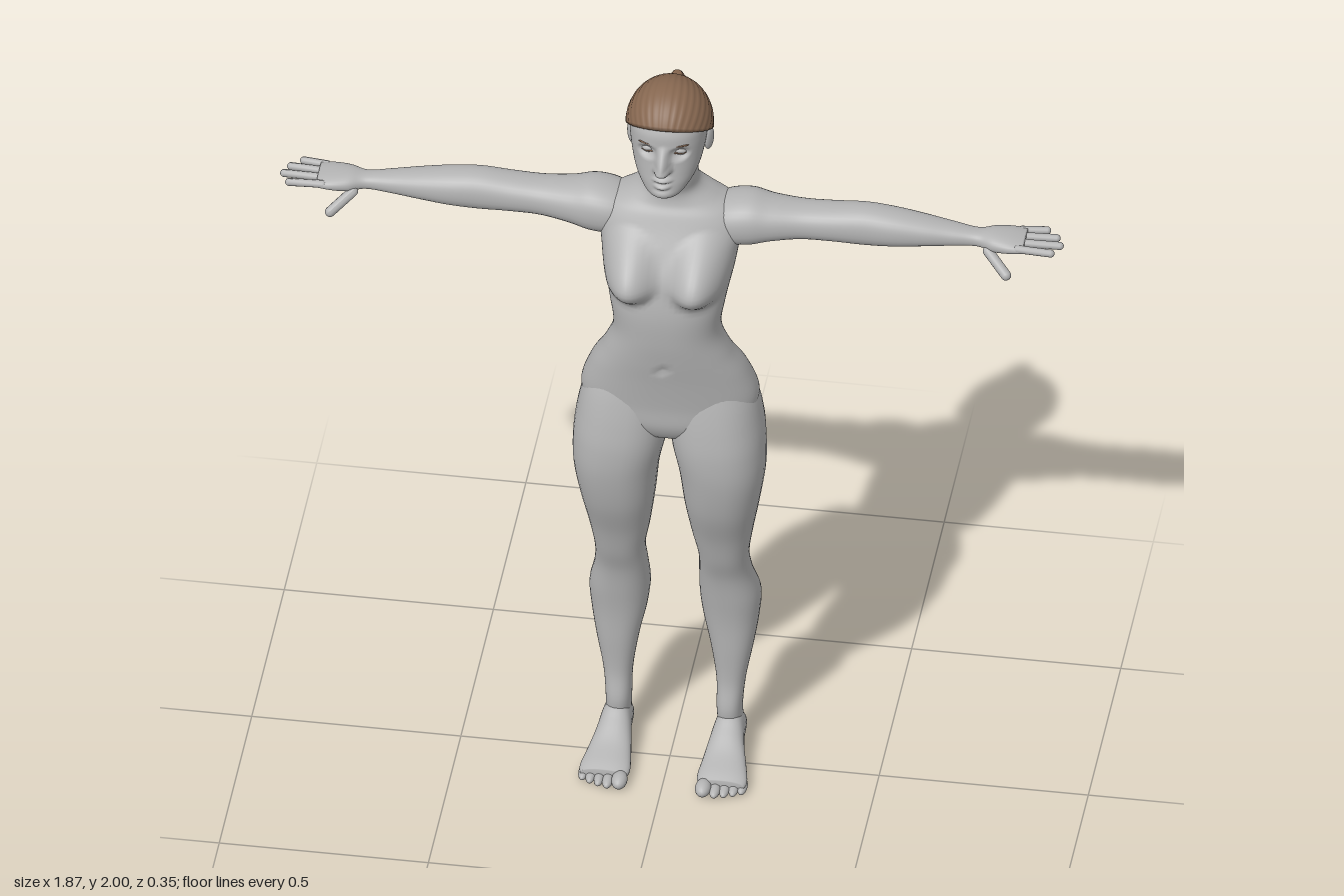
import * as THREE from 'three';

const skin = new THREE.MeshStandardMaterial({ color: 0xb4b4b4 });
skin.name = 'grey skin';
const hair = new THREE.MeshStandardMaterial({ color: 0x866750, side: THREE.DoubleSide });
hair.name = 'brown hair';

// Closed surface with smooth normals from a grid of rows x cols points
function skinGrid(points, rows, cols, flip) {
  const index = [];
  const tri = (a, b, c) => (flip ? index.push(a, c, b) : index.push(a, b, c));
  for (let i = 0; i < rows - 1; i++) for (let j = 0; j < cols; j++) {
    const k = (j + 1) % cols, a = i * cols + j, b = i * cols + k;
    tri(a, a + cols, b);
    tri(b, a + cols, b + cols);
  }
  // End caps
  for (const [row, up] of [[0, false], [rows - 1, true]]) {
    const centre = new THREE.Vector3();
    for (let j = 0; j < cols; j++) centre.addScaledVector(points[row * cols + j], 1 / cols);
    const c = points.push(centre) - 1;
    for (let j = 0; j < cols; j++) {
      const a = row * cols + j, b = row * cols + ((j + 1) % cols);
      if (up) tri(c, b, a); else tri(c, a, b);
    }
  }
  const geo = new THREE.BufferGeometry().setFromPoints(points);
  geo.setIndex(index);
  geo.computeVertexNormals();
  return geo;
}

// Loft along an axis; each section is [s, aMin, aMax, bMin, bMax]
function loft(sections, { axis = 'y', cols = 32, steps = 6, power = 2.3, shape } = {}) {
  const points = [], last = sections.length - 1, rows = last * steps + 1;
  const at = (i) => sections[Math.min(Math.max(i, 0), last)];
  const round = (v) => Math.sign(v) * Math.abs(v) ** (2 / power);
  for (let r = 0; r < rows; r++) {
    const i = Math.min(Math.floor(r / steps), last - 1), t = r / steps - i;
    const [s, a0, a1, b0, b1] = at(i).map((p1, k) => {
      const p0 = at(i - 1)[k], p2 = at(i + 1)[k], p3 = at(i + 2)[k];
      return p1 + 0.5 * t * (p2 - p0 + t * (2 * p0 - 5 * p1 + 4 * p2 - p3 + t * (3 * (p1 - p2) + p3 - p0)));
    });
    for (let j = 0; j < cols; j++) {
      const q = (j / cols) * Math.PI * 2;
      const a = (a0 + a1) / 2 + ((a1 - a0) / 2) * round(Math.cos(q));
      const b = (b0 + b1) / 2 + ((b1 - b0) / 2) * round(Math.sin(q));
      const p = axis === 'y' ? new THREE.Vector3(a, s, b)
        : axis === 'x' ? new THREE.Vector3(s, a, b) : new THREE.Vector3(a, b, s);
      if (shape) shape(p, q);
      points.push(p);
    }
  }
  return skinGrid(points, rows, cols, axis !== 'y');
}

// Section symmetric about x = 0
const sym = ([y, w, back, front]) => [y, -w, w, back, front];

// Raises soft mounds on the front (side 1) or back (side -1) of a loft
const mounds = (list) => (p, q) => {
  let push = 0;
  for (const [side, x, y, rx, up, down, amp] of list) {
    const dy = (p.y - y) / (p.y > y ? up : down);
    const d = ((Math.abs(p.x) - x) / rx) ** 2 + dy * dy;
    const facing = Math.min(Math.max(side * Math.sin(q) * 2, 0), 1);
    if (d < 1) push += side * amp * facing * (1 - d) ** 1.5;
  }
  p.z += push;
};

const ellipsoid = (x, y, z, rx, ry, rz, turn = 0) =>
  new THREE.SphereGeometry(1, 20, 14).scale(rx, ry, rz).rotateY(turn).translate(x, y, z);

// Rounded finger between two points
function finger(from, to, radius) {
  const a = new THREE.Vector3(...from), b = new THREE.Vector3(...to);
  const dir = b.clone().sub(a), mid = a.clone().add(b).multiplyScalar(0.5);
  const geo = new THREE.CapsuleGeometry(radius, dir.length() - radius, 5, 12);
  geo.applyQuaternion(new THREE.Quaternion().setFromUnitVectors(new THREE.Vector3(0, 1, 0), dir.normalize()));
  return geo.translate(mid.x, mid.y, mid.z);
}

function mirrored(geo) {
  const copy = geo.clone().scale(-1, 1, 1), ids = copy.index.array;
  for (let i = 0; i < ids.length; i += 3) [ids[i], ids[i + 1]] = [ids[i + 1], ids[i]];
  copy.computeVertexNormals();
  return copy;
}

// Swept-back hair: an ellipsoid cap cut by the hairline plane, ridged towards the tail
function hairCap() {
  const pole = new THREE.Vector3(0, 0.4, -0.917), side = new THREE.Vector3(1, 0, 0);
  const third = pole.clone().cross(side), line = new THREE.Vector3(0, 0.885, -0.465);
  const rows = 28, cols = 144, points = [];
  for (let i = 0; i < rows; i++) for (let j = 0; j < cols; j++) {
    const q = (j / cols) * Math.PI * 2;
    const e = side.clone().multiplyScalar(Math.cos(q)).addScaledVector(third, Math.sin(q));
    const A = pole.dot(line), B = e.dot(line);
    const limit = Math.atan2(B, A) + Math.acos(-0.04 / Math.hypot(A, B));
    const angle = limit * (1 - (i / (rows - 1)) * 0.98);
    const ridge = 1 + 0.018 * Math.sin(angle) * (Math.abs(Math.sin(q * 18)) - 0.6);
    const p = pole.clone().multiplyScalar(Math.cos(angle)).addScaledVector(e, Math.sin(angle));
    p.multiplyScalar(ridge).multiply(new THREE.Vector3(0.104, 0.115, 0.115));
    points.push(p.add(new THREE.Vector3(0, 1.885, 0.005)));
  }
  return skinGrid(points, rows, cols, true);
}

export function createModel() {
  const model = new THREE.Group();
  model.name = 'figure';
  const add = (name, geo, mat = skin) => {
    const mesh = new THREE.Mesh(geo, mat);
    mesh.name = name;
    model.add(mesh);
  };
  const pair = (name, geo, mat) => {
    add('left ' + name, geo, mat);
    add('right ' + name, mirrored(geo), mat);
  };

  // Torso and neck
  add('torso', loft([
    [0.985, 0.05, -0.06, 0.05], [1.0, 0.12, -0.09, 0.075], [1.04, 0.19, -0.11, 0.095], [1.1, 0.212, -0.115, 0.1],
    [1.18, 0.188, -0.095, 0.112], [1.25, 0.152, -0.062, 0.125], [1.32, 0.128, -0.055, 0.135],
    [1.4, 0.138, -0.075, 0.138], [1.48, 0.155, -0.11, 0.125], [1.54, 0.165, -0.12, 0.1],
    [1.6, 0.175, -0.12, 0.068], [1.635, 0.155, -0.115, 0.05], [1.66, 0.11, -0.11, 0.035],
    [1.69, 0.07, -0.1, 0.032], [1.73, 0.062, -0.09, 0.045], [1.79, 0.058, -0.08, 0.05],
  ].map(sym), { cols: 80, shape: mounds([
    [1, 0.088, 1.487, 0.082, 0.12, 0.068, 0.066],
    [-1, 0.092, 1.07, 0.096, 0.12, 0.09, 0.058],
    [-1, 0, 1.42, 0.035, 0.18, 0.2, -0.014],
    [1, 0, 1.23, 0.014, 0.016, 0.016, -0.01],
  ]) }));

  // Legs: ankle to hip
  pair('leg', loft([
    [0.05, 0.105, 0.165, -0.115, -0.04], [0.12, 0.102, 0.163, -0.112, -0.025], [0.2, 0.1, 0.17, -0.118, -0.035],
    [0.3, 0.085, 0.188, -0.135, -0.03], [0.38, 0.068, 0.2, -0.152, -0.025], [0.45, 0.06, 0.204, -0.152, -0.015],
    [0.53, 0.062, 0.188, -0.115, 0], [0.6, 0.064, 0.184, -0.092, 0.025], [0.68, 0.05, 0.195, -0.092, 0.05],
    [0.78, 0.036, 0.213, -0.1, 0.088], [0.88, 0.025, 0.228, -0.105, 0.11], [0.96, 0.008, 0.229, -0.112, 0.115],
    [1.03, 0, 0.222, -0.12, 0.108], [1.1, 0.005, 0.205, -0.11, 0.095], [1.16, 0.03, 0.17, -0.08, 0.08],
  ], { cols: 40 }));

  // Feet and toes
  pair('foot', loft([
    [-0.122, 0.12, 0.15, 0.02, 0.05], [-0.115, 0.105, 0.165, 0.005, 0.07], [-0.08, 0.1, 0.17, 0, 0.1],
    [-0.04, 0.098, 0.172, 0, 0.11], [0, 0.092, 0.178, 0, 0.09], [0.05, 0.085, 0.19, 0, 0.062],
    [0.1, 0.08, 0.2, 0, 0.045], [0.125, 0.088, 0.196, 0.004, 0.034],
  ], { axis: 'z' }));
  [[0.1, 0.135, 0.019], [0.128, 0.132, 0.013], [0.15, 0.126, 0.012], [0.171, 0.118, 0.012], [0.19, 0.108, 0.012]]
    .forEach(([x, z, r]) => pair('toe', ellipsoid(x, r * 0.95, z, r, r * 0.95, 0.03)));

  // Arms with palms, shoulder to knuckles
  pair('arm', loft([
    [0.09, 1.56, 1.635, -0.09, 0.02], [0.14, 1.535, 1.655, -0.108, 0.035], [0.19, 1.535, 1.662, -0.108, 0.035],
    [0.24, 1.548, 1.652, -0.098, 0.025], [0.31, 1.557, 1.645, -0.092, 0.012], [0.38, 1.558, 1.648, -0.09, 0.01],
    [0.46, 1.556, 1.655, -0.088, 0.01], [0.53, 1.56, 1.65, -0.085, 0.01], [0.6, 1.567, 1.638, -0.08, 0.003],
    [0.67, 1.573, 1.624, -0.073, -0.008], [0.73, 1.577, 1.615, -0.066, -0.014], [0.77, 1.575, 1.62, -0.078, 0.004],
    [0.81, 1.58, 1.618, -0.084, 0.012], [0.845, 1.586, 1.612, -0.084, 0.01],
  ], { axis: 'x' }));
  [[0.002, 0.915, 0.002], [-0.024, 0.932, -0.031], [-0.05, 0.92, -0.06], [-0.074, 0.893, -0.087]]
    .forEach(([z, tip, tipZ]) => pair('finger', finger([0.825, 1.602, z], [tip, 1.598, tipZ], 0.0095)));
  pair('thumb', finger([0.755, 1.585, -0.01], [0.812, 1.54, 0.034], 0.0125));

  // Head with sockets, nose, lips and cheeks
  add('head', loft([
    [1.737, 0.02, 0.07, 0.108], [1.75, 0.045, 0.01, 0.122], [1.78, 0.068, -0.045, 0.122],
    [1.81, 0.08, -0.07, 0.118], [1.85, 0.088, -0.085, 0.114], [1.89, 0.092, -0.09, 0.113],
    [1.92, 0.091, -0.09, 0.109], [1.95, 0.08, -0.075, 0.092], [1.975, 0.055, -0.05, 0.062], [1.988, 0.015, -0.01, 0.02],
  ].map(sym), { cols: 112, steps: 9, shape: mounds([
    [1, 0, 1.829, 0.022, 0.065, 0.018, 0.036],
    [1, 0.014, 1.825, 0.012, 0.016, 0.012, 0.009],
    [1, 0.038, 1.868, 0.028, 0.022, 0.022, -0.016],
    [1, 0, 1.797, 0.028, 0.012, 0.008, 0.011],
    [1, 0, 1.781, 0.024, 0.008, 0.012, 0.011],
    [1, 0, 1.758, 0.03, 0.014, 0.018, 0.006],
  ]) }));
  pair('eye', ellipsoid(0.037, 1.868, 0.086, 0.017, 0.012, 0.013));
  pair('eyelash', ellipsoid(0.038, 1.866, 0.095, 0.016, 0.002, 0.005, 0.25), hair);
  pair('eyebrow', ellipsoid(0.04, 1.892, 0.102, 0.021, 0.003, 0.005, 0.3), hair);
  pair('ear', ellipsoid(0.093, 1.845, -0.002, 0.009, 0.032, 0.019, -0.35));

  // Hair and ponytail
  add('hair cap', hairCap(), hair);
  add('ponytail', loft([
    [1.64, 0.016, -0.174, -0.168], [1.7, 0.022, -0.174, -0.158], [1.79, 0.025, -0.168, -0.142],
    [1.86, 0.023, -0.158, -0.125], [1.915, 0.02, -0.143, -0.095], [1.945, 0.012, -0.122, -0.085],
  ].map(sym), { cols: 48, shape: (p, q) => { p.x *= 1 + 0.08 * Math.sin(q * 12); } }), hair);

  return model;
}
